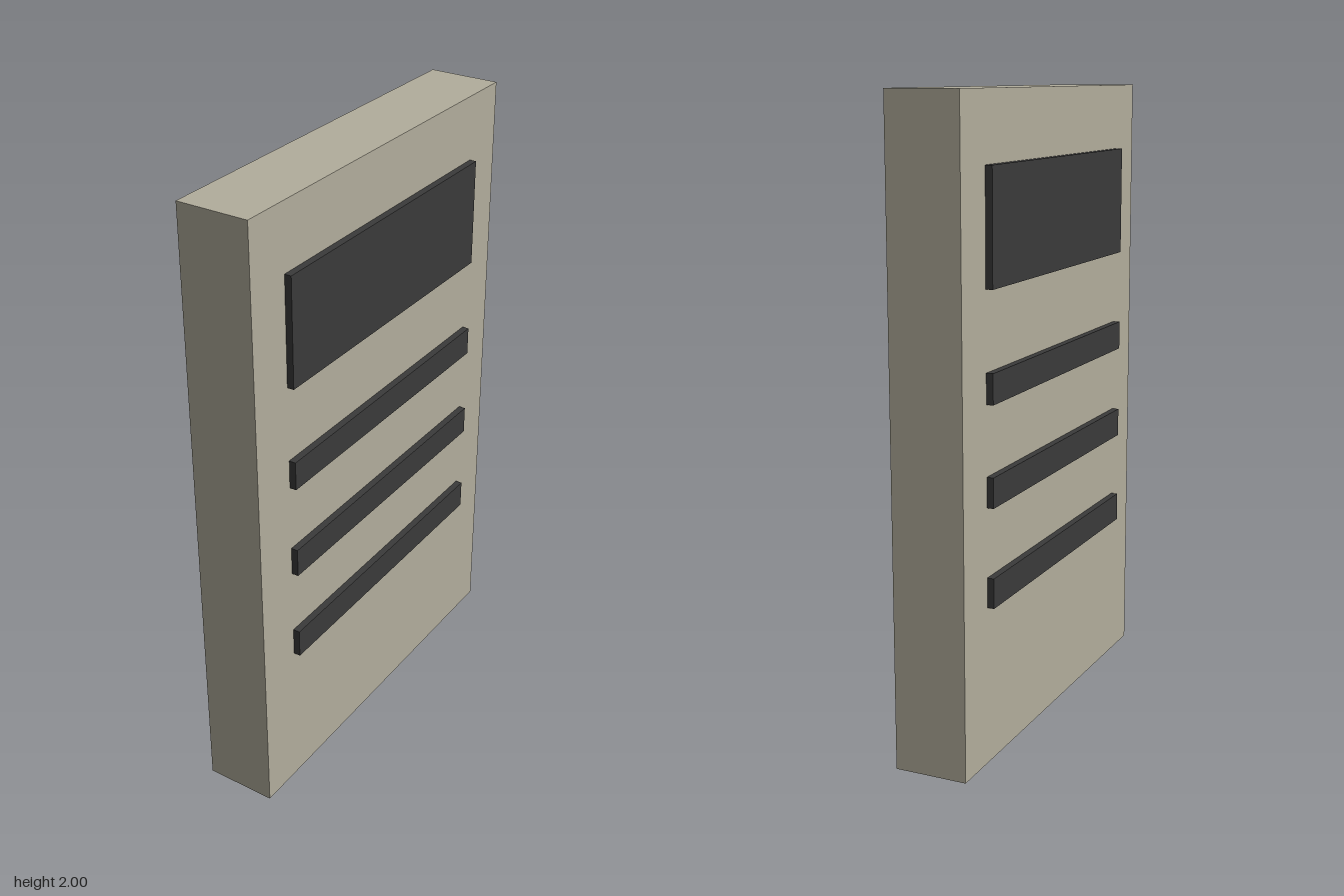
import * as THREE from 'three';

export function createModel() {
  const group = new THREE.Group();
  const stone = new THREE.MeshStandardMaterial({ color: 0xb2ad9c });
  stone.name = 'warm grey';
  const dark = new THREE.MeshStandardMaterial({ color: 0x3a3a3a });
  dark.name = 'charcoal';

  function addBox(name, material, size, x, y) {
    const mesh = new THREE.Mesh(new THREE.BoxGeometry(...size), material);
    mesh.name = name;
    mesh.position.set(x, y, 0);
    group.add(mesh);
  }

  // Upright slab
  addBox('slab', stone, [0.232, 2, 1.308], 0, 1);

  // Raised header panel and three bars, repeated on both broad faces
  const depth = 0.044; // half sunk into the slab
  for (const side of [1, -1]) {
    const prefix = side > 0 ? 'left' : 'right';
    const x = side * (0.138 - depth / 2);
    addBox(prefix + 'HeaderPanel', dark, [depth, 0.348, 1.004], x, 1.617);
    [1.156, 0.848, 0.541].forEach((y, i) => {
      addBox(prefix + 'Bar' + (i + 1), dark, [depth, 0.093, 1.004], x, y);
    });
  }
  return group;
}
